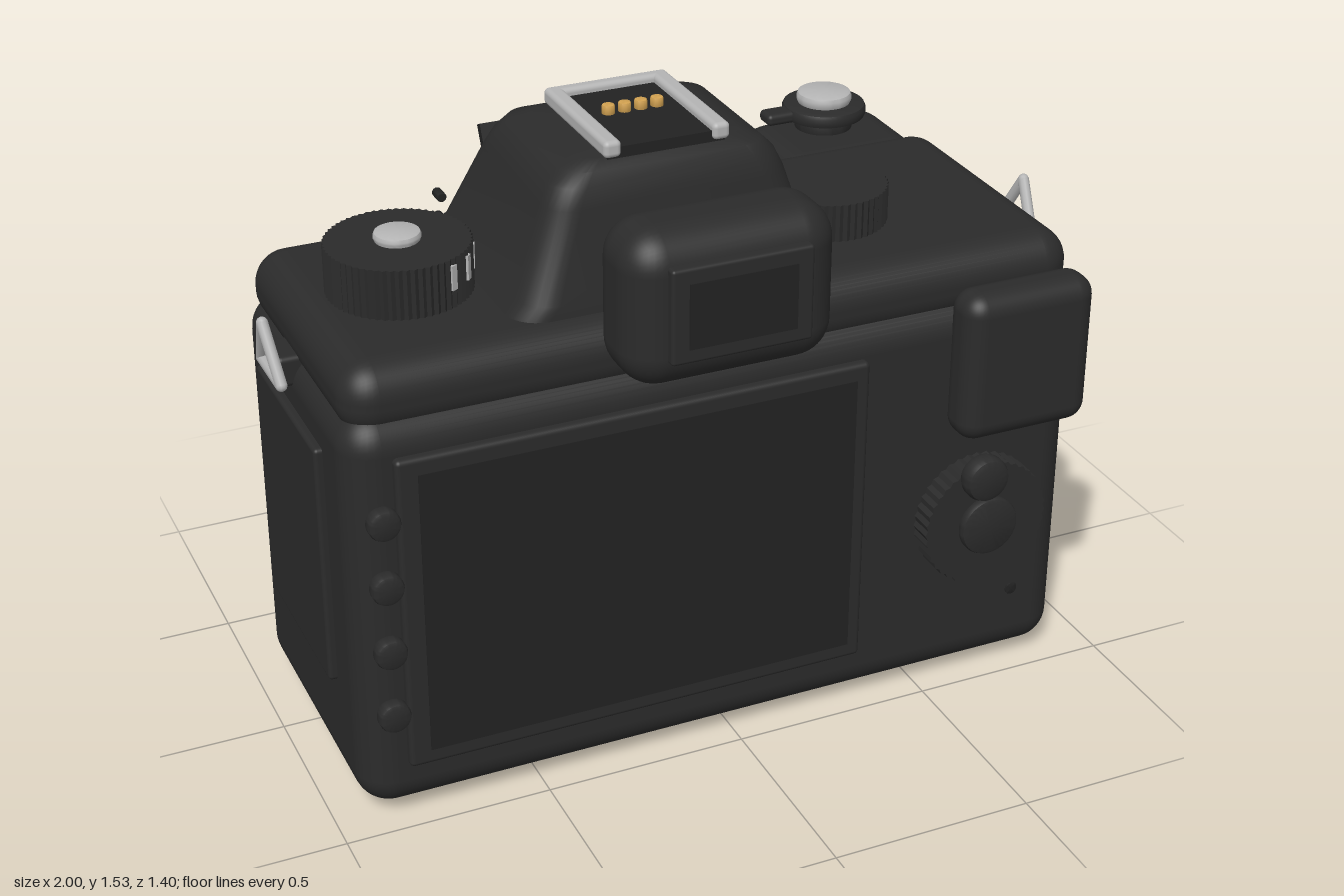
import * as THREE from 'three';
import { toCreasedNormals } from 'three/addons/utils/BufferGeometryUtils.js';
import { RoundedBoxGeometry } from 'three/addons/geometries/RoundedBoxGeometry.js';

const mat = (name, color) => Object.assign(new THREE.MeshStandardMaterial({ color }), { name });

// Rounded-rectangle sections [y, x0, x1, z0, z1, r] joined along y, closed at both ends
function loft(sections, crease = 0.7) {
  const pos = [], idx = [], steps = 7, n = 4 * (steps + 1);
  for (const [y, x0, x1, z0, z1, r] of sections) {
    for (let k = 0; k < 4; k++) {
      const cx = k === 0 || k === 3 ? x1 - r : x0 + r;
      const cz = k < 2 ? z1 - r : z0 + r;
      for (let s = 0; s <= steps; s++) {
        const a = (k + s / steps) * Math.PI / 2;
        pos.push(cx + r * Math.cos(a), y, cz + r * Math.sin(a));
      }
    }
  }
  const last = sections.length - 1;
  for (const [y, x0, x1, z0, z1] of [sections[0], sections[last]]) pos.push((x0 + x1) / 2, y, (z0 + z1) / 2);
  const c0 = n * sections.length;
  for (let j = 0; j < n; j++) {
    const k = (j + 1) % n;
    for (let i = 0; i < last; i++) {
      const a = i * n + j, b = i * n + k;
      idx.push(a, a + n, b, b, a + n, b + n);
    }
    idx.push(c0, j, k, c0 + 1, last * n + k, last * n + j);
  }
  const g = new THREE.BufferGeometry();
  g.setAttribute('position', new THREE.Float32BufferAttribute(pos, 3));
  g.setIndex(idx);
  return toCreasedNormals(g, crease);
}

// Disc with softened rims, standing on y = 0
function disc(r, h, b = 0.01) {
  const p = [[0, 0], [r - b, 0], [r - b * 0.3, b * 0.3], [r, b], [r, h - b], [r - b * 0.3, h - b * 0.3], [r - b, h], [0, h]];
  return toCreasedNormals(new THREE.LatheGeometry(p.map(q => new THREE.Vector2(...q)), 48), 0.6);
}

// Dial with a toothed rim, standing on y = 0
function knurled(r, h, teeth) {
  const g = new THREE.CylinderGeometry(r, r, h, teeth * 2, 1).translate(0, h / 2, 0);
  const p = g.attributes.position;
  for (let i = 0; i < p.count; i++) {
    const t = Math.round(Math.atan2(p.getX(i), p.getZ(i)) / Math.PI * teeth);
    const k = t % 2 ? 0.965 : 1;
    p.setX(i, p.getX(i) * k);
    p.setZ(i, p.getZ(i) * k);
  }
  return toCreasedNormals(g, 0.3);
}

const toBack = g => g.rotateX(-Math.PI / 2); // y axis to -z
const toFront = g => g.rotateX(Math.PI / 2); // y axis to +z

export function createModel() {
  const model = new THREE.Group();
  const body = mat('body black', 0x2b2b2b);
  const dark = mat('deep black', 0x222222);
  const silver = mat('silver', 0xb4b4b4);
  const gold = mat('gold', 0xd0a050);

  const add = (name, geo, m, x = 0, y = 0, z = 0) => {
    const mesh = new THREE.Mesh(geo, m);
    mesh.name = name;
    mesh.position.set(x, y, z);
    model.add(mesh);
    return mesh;
  };
  // Box from its limits, rounded when r is given
  const box = (name, m, x0, x1, y0, y1, z0, z1, r = 0) => {
    const s = [x1 - x0, y1 - y0, z1 - z0];
    const g = r ? new RoundedBoxGeometry(...s, 5, r) : new THREE.BoxGeometry(...s);
    return add(name, g, m, (x0 + x1) / 2, (y0 + y1) / 2, (z0 + z1) / 2);
  };

  // Main shell
  box('lowerBody', body, -0.94, 0.90, 0.025, 1.05, -0.31, 0.47, 0.085);
  box('upperBody', body, -0.925, 0.89, 0.985, 1.16, -0.30, 0.445, 0.08);

  // Viewfinder hump
  add('hump', loft([
    [1.10, -0.52, 0.305, -0.27, 0.37, 0.08],
    [1.165, -0.50, 0.28, -0.26, 0.37, 0.08],
    [1.19, -0.475, 0.255, -0.24, 0.365, 0.08],
    [1.40, -0.405, 0.185, -0.14, 0.34, 0.07],
    [1.445, -0.385, 0.165, -0.12, 0.33, 0.07],
    [1.475, -0.355, 0.135, -0.10, 0.315, 0.06],
    [1.49, -0.31, 0.09, -0.06, 0.28, 0.05],
  ]), body);
  box('humpLip', dark, -0.38, 0.165, 1.345, 1.42, -0.17, -0.15).rotation.x = -0.45;
  for (const x of [-0.465, 0.245])
    for (const y of [1.17, 1.23]) add('humpScrew', toBack(disc(0.012, 0.04, 0.003)), dark, x, y, -0.21);

  // Accessory shoe
  box('shoePlate', dark, -0.25, 0.035, 1.485, 1.512, -0.055, 0.29);
  for (const x of [-0.26, 0.003]) box('shoeRail', silver, x, x + 0.042, 1.49, 1.53, -0.065, 0.30, 0.012);
  box('shoeStop', silver, -0.26, 0.045, 1.49, 1.53, -0.065, -0.03, 0.012);
  for (let i = 0; i < 4; i++) add('shoeContact', disc(0.015, 0.026, 0.004), gold, -0.167 + i * 0.04, 1.508, 0.10);

  // Eyepiece
  box('eyecup', body, -0.36, 0.145, 1.09, 1.46, 0.45, 0.675, 0.09);
  box('eyepieceFrame', body, -0.275, 0.06, 1.17, 1.395, 0.64, 0.695, 0.008);
  box('eyepieceWindow', dark, -0.235, 0.02, 1.205, 1.36, 0.692, 0.699);

  // Mode dial with index marks
  add('modeDial', knurled(0.17, 0.125, 60), body, -0.67, 1.155, 0.07);
  add('modeDialCap', disc(0.055, 0.025), silver, -0.67, 1.278, 0.07);
  for (let i = 0; i < 9; i++) {
    const a = (62 - i * 21) * Math.PI / 180;
    const m = box('dialMark', silver, -0.004, 0.004, 1.205, 1.265, -0.008, 0.008);
    m.position.x = -0.67 + 0.168 * Math.cos(a);
    m.position.z = 0.07 + 0.168 * Math.sin(a);
    m.rotation.y = -a;
  }
  box('dialIndex', silver, -0.677, -0.663, 1.157, 1.165, -0.155, -0.11);
  add('exposureDial', knurled(0.148, 0.1, 50), body, 0.387, 1.152, 0.115);

  // Grip with shutter release and command wheel
  add('grip', loft([
    [0.085, 0.58, 0.82, -0.54, -0.28, 0.08],
    [0.10, 0.52, 0.88, -0.60, -0.22, 0.11],
    [0.15, 0.475, 0.92, -0.66, -0.15, 0.13],
    [0.20, 0.455, 0.937, -0.685, -0.12, 0.13],
    [0.27, 0.45, 0.945, -0.697, -0.098, 0.13],
    [0.93, 0.45, 0.943, -0.645, -0.095, 0.13],
    [1.0, 0.465, 0.93, -0.635, -0.115, 0.13],
    [1.045, 0.495, 0.90, -0.61, -0.16, 0.12],
    [1.065, 0.54, 0.86, -0.56, -0.22, 0.1],
  ], 1.2), body);
  box('gripCap', body, 0.485, 0.915, 0.88, 1.105, -0.645, -0.28, 0.09);
  add('commandWheel', knurled(0.1, 0.12, 30).rotateZ(-Math.PI / 2), body, 0.69, 1.0, -0.588);
  add('shutterStem', disc(0.075, 0.05), body, 0.705, 1.095, -0.515);
  add('powerRing', disc(0.11, 0.038, 0.012), body, 0.705, 1.135, -0.515);
  box('powerLever', body, 0.53, 0.65, 1.137, 1.168, -0.545, -0.485, 0.012);
  add('shutterButton', disc(0.072, 0.034, 0.012), silver, 0.705, 1.17, -0.515);

  // Lens mount
  const cx = -0.11, cy = 0.62;
  add('mountBase', toBack(disc(0.468, 0.11, 0.015)), body, cx, cy, -0.295);
  const ring = [[0.37, 0.0], [0.44, 0.0], [0.44, 0.03], [0.432, 0.043], [0.415, 0.05], [0.39, 0.047], [0.375, 0.037], [0.37, 0.022], [0.37, 0.0]];
  add('mountRing', toBack(toCreasedNormals(new THREE.LatheGeometry(ring.map(p => new THREE.Vector2(...p)), 72), 0.7)), silver, cx, cy, -0.402);
  add('mountOpening', toBack(disc(0.372, 0.008, 0.002)), dark, cx, cy, -0.40);
  for (const deg of [90, 210, 330]) {
    const a = deg * Math.PI / 180;
    const tab = add('mountTab', new RoundedBoxGeometry(0.035, 0.16, 0.022, 3, 0.01), silver, cx + 0.35 * Math.cos(a), cy + 0.35 * Math.sin(a), -0.417);
    tab.rotation.z = a;
  }
  for (let i = 0; i < 8; i++) {
    const a = (270 + (i - 3.5) * 5.2) * Math.PI / 180;
    add('mountContact', toBack(disc(0.013, 0.022, 0.004)), gold, cx + 0.325 * Math.cos(a), cy + 0.325 * Math.sin(a), -0.405);
  }
  add('lensRelease', toBack(disc(0.055, 0.1, 0.012)), body, -0.615, 0.82, -0.305);
  add('frontButton', toBack(disc(0.06, 0.09, 0.012)), body, 0.435, 1.065, -0.305);
  box('frontPanel', body, -0.885, -0.6, 0.11, 0.96, -0.32, -0.30, 0.006);

  // Rear screen and controls
  box('screenFrame', body, -0.835, 0.32, 0.155, 0.96, 0.45, 0.492, 0.012);
  box('screen', dark, -0.785, 0.285, 0.195, 0.92, 0.488, 0.495);
  for (const y of [0.81, 0.645, 0.475, 0.305]) add('sideButton', toFront(disc(0.038, 0.04)), body, -0.865, y, 0.46);
  box('thumbRest', body, 0.54, 0.885, 0.715, 1.095, 0.44, 0.56, 0.05);
  add('rearButton', toFront(disc(0.057, 0.055, 0.018)), body, 0.585, 0.643, 0.56);
  add('rearDial', toFront(knurled(0.165, 0.065, 40)), body, 0.632, 0.475, 0.465);
  add('rearDialCentre', toFront(disc(0.076, 0.03)), body, 0.632, 0.475, 0.525);
  add('statusLamp', toFront(disc(0.016, 0.008, 0.002)), dark, 0.755, 0.222, 0.466);

  // Side doors
  box('portDoor', body, -0.96, -0.92, 0.31, 0.92, -0.15, 0.30, 0.01);
  box('cardDoorSeam', dark, 0.895, 0.905, 0.20, 0.88, 0.35, 0.36);

  // Strap lugs with triangular rings
  for (const s of [-1, 1]) {
    add('strapLug', new RoundedBoxGeometry(0.09, 0.075, 0.11, 3, 0.012), body, s * 0.925, 1.01, 0.035);
    const path = new THREE.CurvePath();
    const c = [[0.972, 0.995, -0.04], [0.972, 0.995, 0.115], [0.985, 1.12, 0.0375]].map(p => new THREE.Vector3(s * p[0], p[1], p[2]));
    c.forEach((p, i) => path.add(new THREE.LineCurve3(p, c[(i + 1) % 3])));
    path.curves.forEach(l => add('strapRing', new THREE.TubeGeometry(l, 1, 0.014, 10), silver));
    c.forEach(p => add('strapRingCorner', new THREE.SphereGeometry(0.014, 10, 8), silver, p.x, p.y, p.z));
  }

  // Underside
  add('tripodSocket', new THREE.CylinderGeometry(0.085, 0.085, 0.015, 40), silver, -0.105, 0.021, 0.08);
  box('batteryDoor', body, 0.41, 0.80, 0.016, 0.03, -0.20, 0.36);
  box('batteryLatch', body, 0.535, 0.66, 0.0, 0.02, 0.027, 0.136);

  return model;
}
